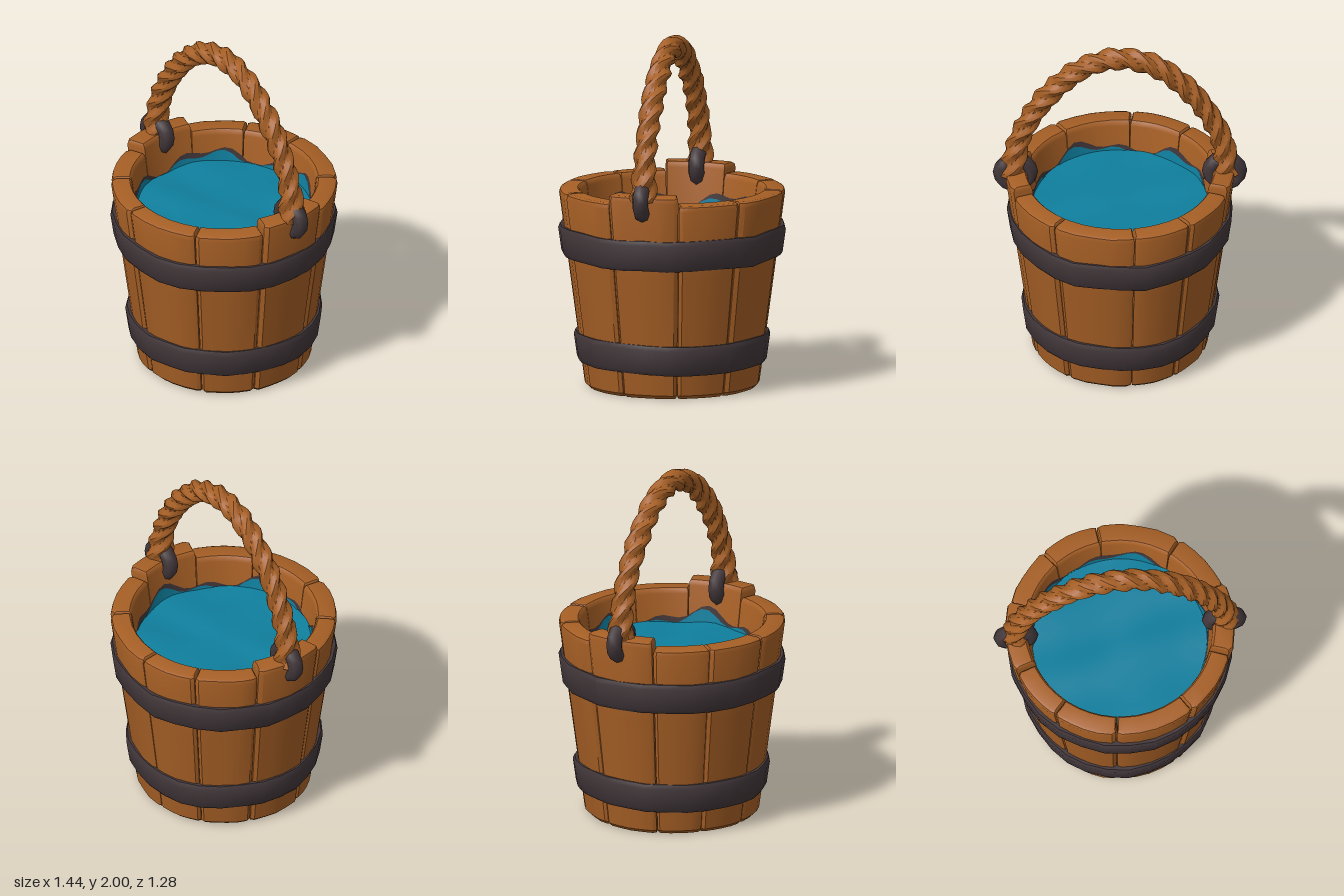
import * as THREE from 'three';
import { toCreasedNormals } from 'three/addons/utils/BufferGeometryUtils.js';

const wood = new THREE.MeshStandardMaterial({ color: 0xa65f25 });
const iron = new THREE.MeshStandardMaterial({ color: 0x42373a });
const water = new THREE.MeshStandardMaterial({ color: 0x0f7f9e });

// Seeded random numbers for hand-worked irregularity
let seed = 7;
const rnd = () => (seed = (seed * 16807) % 2147483647) / 2147483647;
const jitter = (s) => (rnd() - 0.5) * 2 * s;

const polar = (r, a, y) => new THREE.Vector3(r * Math.cos(a), y, -r * Math.sin(a));
const outerR = (y) => 0.49 + 0.133 * y;
const innerR = (y) => 0.375 + 0.128 * y;
const TAU = Math.PI * 2;

// Skin closed rings of points, with optional end caps
function loft(rings, caps, crease = 0.6) {
  const pos = [];
  const quad = (a, b, c, d) => [a, b, c, a, c, d].forEach((p) => pos.push(p.x, p.y, p.z));
  const n = rings[0].length;
  for (let i = 0; i < rings.length - 1; i++) {
    for (let j = 0; j < n; j++) {
      const k = (j + 1) % n;
      quad(rings[i][j], rings[i][k], rings[i + 1][k], rings[i + 1][j]);
    }
  }
  if (caps) {
    const first = rings[0], last = rings[rings.length - 1];
    for (let k = 0; k < n / 2 - 1; k++) {
      quad(last[k], last[k + 1], last[n - 2 - k], last[n - 1 - k]);
      quad(first[n - 1 - k], first[n - 2 - k], first[k + 1], first[k]);
    }
  }
  const g = new THREE.BufferGeometry();
  g.setAttribute('position', new THREE.Float32BufferAttribute(pos, 3));
  return toCreasedNormals(g, crease);
}

function add(parent, name, geometry, material) {
  const mesh = new THREE.Mesh(geometry, material);
  mesh.name = name;
  parent.add(mesh);
  return mesh;
}

// One curved plank between two angles, with rounded rim and chamfered sides
function stave(a0, a1, top, push) {
  const steps = 6;
  const wobble = Array.from({ length: steps + 1 }, () => jitter(0.004));
  const levels = [[0.01, 0.018], [0.03, 0], [0.35, 0], [0.7, 0], [top - 0.03, 0], [top - 0.008, 0.008], [top, 0.024]];
  const rings = levels.map(([y, inset]) => {
    const ring = [];
    const gap = 0.004 + inset * 0.6;
    for (const side of [1, -1]) {
      for (let k = 0; k <= steps; k++) {
        const t = side > 0 ? k / steps : 1 - k / steps;
        const edge = k === 0 || k === steps;
        // the first step is a narrow chamfer on the outer edge
        const u = edge ? t : 0.06 + 0.88 * (t - 1 / steps) / (1 - 2 / steps);
        const a = a0 + gap + (a1 - a0 - 2 * gap) * u;
        const r = side > 0
          ? outerR(y) + push - inset + wobble[k] - (edge ? 0.012 : 0)
          : innerR(y) + inset * 0.5;
        ring.push(polar(r, a, y));
      }
    }
    return ring;
  });
  return loft(rings, true);
}

// Hammered iron hoop
function hoop(y0, y1) {
  const n = 28;
  const wob = Array.from({ length: n }, () => [jitter(0.006), jitter(0.006)]);
  const profile = [[-0.03, y0], [0.014, y0], [0.026, y0 + 0.02], [0.027, y1 - 0.025], [0.014, y1], [-0.03, y1]];
  const rings = profile.map(([d, y]) => wob.map(([dr, dy], j) =>
    polar(outerR(y) + d + (d > 0 ? dr : 0), (j / n) * TAU, y + dy)));
  return loft(rings, false);
}

// Three twisted strands following the arched handle
function rope() {
  const half = [[0.6, 1.16], [0.59, 1.3], [0.56, 1.42], [0.46, 1.62], [0.33, 1.78], [0.18, 1.895]];
  const pts = [...half, [0, 1.94], ...half.map(([x, y]) => [-x, y]).reverse()];
  const curve = new THREE.CatmullRomCurve3(pts.map(([x, y]) => new THREE.Vector3(x, y, 0)));
  const rings = [];
  const n = 72, sides = 18;
  const e1 = new THREE.Vector3(0, 0, 1);
  for (let i = 0; i <= n; i++) {
    const s = i / n;
    const p = curve.getPointAt(s);
    const e2 = curve.getTangentAt(s).cross(e1);
    const flare = 0.018 * Math.max(0, 1 - Math.min(s, 1 - s) / 0.1);
    const wob = jitter(0.003);
    rings.push(Array.from({ length: sides }, (_, j) => {
      const a = (j / sides) * TAU;
      const r = 0.058 + flare + wob + 0.01 * Math.cos(3 * (a - s * TAU * 6));
      return p.clone().addScaledVector(e1, r * Math.cos(a)).addScaledVector(e2, r * Math.sin(a));
    }));
  }
  return loft(rings, true, 0.5);
}

// Rippled water disc
function waterSurface() {
  const n = 40;
  const rings = [0.503, 0.4, 0.28, 0.15, 0.0005].map((r) => Array.from({ length: n }, (_, j) => {
    const p = polar(r, (j / n) * TAU, 0.955);
    p.y += 0.008 * Math.sin(p.z * 17 + p.x * 4) + 0.004 * Math.sin(p.x * 13);
    return p;
  }));
  return loft(rings, false, 0.3);
}

// Thin uneven lining facing inward on the staves
function lining(lift, offset) {
  const n = 72;
  const height = (a) => 0.975 + lift + 0.035 * Math.sin(a * 5 + 1) + 0.025 * Math.sin(a * 11 + lift * 30);
  const rings = [0, 1].map((t) => Array.from({ length: n }, (_, j) => {
    const a = -(j / n) * TAU;
    const y = t ? Math.max(0.95, height(a)) : 0.93;
    return polar(innerR(y) - offset, a, y);
  }));
  return loft(rings, false);
}

export function createModel() {
  const model = new THREE.Group();
  model.name = 'waterBucket';

  // Staves: the two that hold the handle stand taller
  const staves = new THREE.Group();
  staves.name = 'staves';
  model.add(staves);
  const seams = [-19, 19, 53, 97, 128, 161, 199, 229, 263, 305, 341];
  for (let i = 0; i < 10; i++) {
    const tall = i === 0 || i === 5;
    const [a0, a1] = [seams[i], seams[i + 1]].map(THREE.MathUtils.degToRad);
    add(staves, tall ? 'handleStave' : 'stave', stave(a0, a1, tall ? 1.19 : 1.14, tall ? 0.004 : 0), wood);
  }

  // Recessed floor of straight planks
  const floor = new THREE.Group();
  floor.name = 'floor';
  floor.rotation.y = 0.5;
  model.add(floor);
  const R = 0.395, planks = 5;
  for (let i = 0; i < planks; i++) {
    const z0 = -R + (2 * R * i) / planks + 0.003, z1 = z0 + (2 * R) / planks - 0.006;
    const shape = new THREE.Shape();
    for (let k = 0; k <= 16; k++) {
      const z = z0 + (z1 - z0) * ((k % 8.5) | 0) / 8;
      const t = k <= 8 ? k / 8 : (16 - k) / 7;
      const v = z0 + (z1 - z0) * t;
      const x = Math.sqrt(Math.max(0, R * R - v * v)) * (k <= 8 ? 1 : -1);
      k ? shape.lineTo(x, v) : shape.moveTo(x, v);
    }
    const g = new THREE.ExtrudeGeometry(shape, { depth: 0.05, bevelEnabled: false });
    g.rotateX(-Math.PI / 2).translate(0, 0.05 + (i % 2) * 0.004, 0);
    add(floor, 'floorPlank', g, wood);
  }

  add(model, 'lowerHoop', hoop(0.15, 0.32), iron);
  add(model, 'upperHoop', hoop(0.76, 0.935), iron);

  // Water with damp, uneven edges along the inside wall
  add(model, 'water', waterSurface(), water);
  add(model, 'innerHoopEdge', lining(0.02, 0.003), iron);
  add(model, 'waterEdge', lining(0, 0.007), water);

  // Handle and the iron rings that hold it
  add(model, 'ropeHandle', rope(), wood);
  for (const side of [1, -1]) {
    const g = new THREE.TorusGeometry(0.082, 0.046, 8, 14);
    const ring = add(model, side > 0 ? 'leftRing' : 'rightRing', g, iron);
    ring.position.set(side * 0.59, 1.165, 0);
  }
  return model;
}
